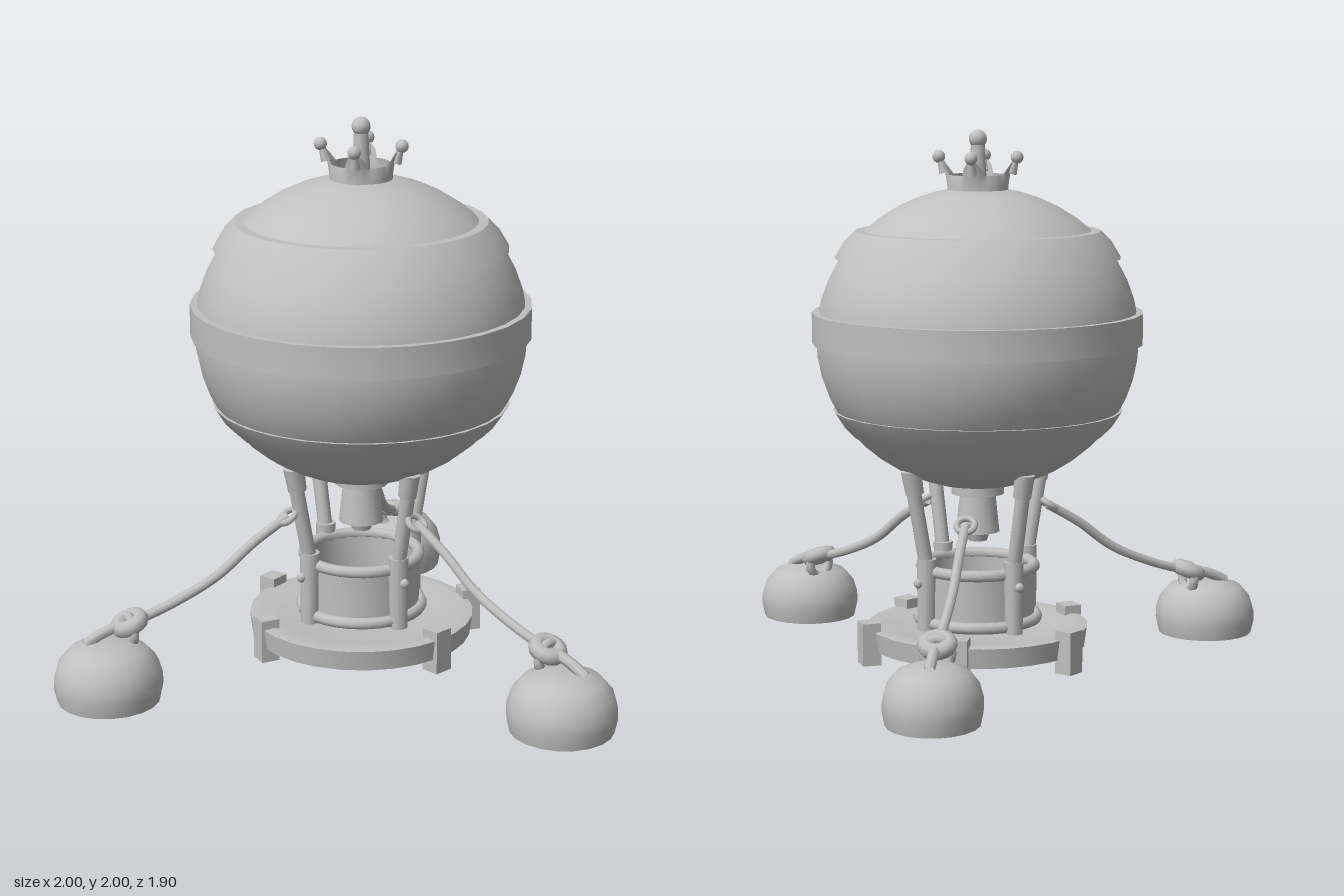
import * as THREE from 'three';
import { toCreasedNormals } from 'three/addons/utils/BufferGeometryUtils.js';

const CZ = 0.125; // z of the balloon axis
const V = (x, y, z) => new THREE.Vector3(x, y, z);

export function createModel() {
  const model = new THREE.Group();
  model.name = 'balloonModel';
  const grey = new THREE.MeshStandardMaterial({ color: 0xc0c0c0, side: THREE.DoubleSide });
  grey.name = 'plainGrey';

  const add = (parent, name, geometry, x = 0, y = 0, z = 0) => {
    const mesh = new THREE.Mesh(geometry, grey);
    mesh.name = name;
    mesh.position.set(x, y, z);
    parent.add(mesh);
    return mesh;
  };
  const lathe = (pts, seg = 28) =>
    toCreasedNormals(new THREE.LatheGeometry(pts.map(p => new THREE.Vector2(p[0], p[1])), seg), 0.6);
  const rod = (parent, name, a, b, r0, r1 = r0, seg = 10) => {
    const dir = b.clone().sub(a);
    const mesh = add(parent, name, new THREE.CylinderGeometry(r1, r0, dir.length(), seg));
    mesh.position.copy(a).addScaledVector(dir, 0.5);
    mesh.quaternion.setFromUnitVectors(V(0, 1, 0), dir.normalize());
    return mesh;
  };
  const tube = (parent, name, pts, r, seg = 20) =>
    add(parent, name, new THREE.TubeGeometry(new THREE.CatmullRomCurve3(pts), seg, r, 8));

  const craft = new THREE.Group();
  craft.name = 'craft';
  craft.position.z = CZ;
  model.add(craft);

  // Balloon envelope and its three raised bands
  add(craft, 'envelope', new THREE.SphereGeometry(0.6, 32, 24), 0, 1.23, 0).scale.y = 0.935;
  add(craft, 'upperBand', lathe([[0.47, 1.53], [0.53, 1.53], [0.495, 1.59], [0.455, 1.63], [0.4, 1.63]]));
  add(craft, 'middleBand', lathe([[0.56, 1.215], [0.615, 1.215], [0.615, 1.33], [0.56, 1.33]]));
  add(craft, 'lowerBand', lathe([[0.4, 0.87], [0.465, 0.87], [0.505, 0.91], [0.54, 0.965], [0.48, 0.965]]));

  // Crown: an open wall whose rim rises and flares at four points
  const crown = new THREE.Group();
  crown.name = 'crown';
  craft.add(crown);
  const wall = new THREE.CylinderGeometry(1, 1, 1, 48, 5, true);
  const p = wall.attributes.position;
  for (let i = 0; i < p.count; i++) {
    const t = p.getY(i) + 0.5, a = Math.atan2(p.getZ(i), p.getX(i));
    const peak = Math.pow(Math.abs(Math.cos(2 * a)) * (Math.cos(4 * a) + 1) / 2, 1.5);
    const tip = Math.cos(4 * a) > 0 ? peak : 0;
    const r = 0.112 + t * t * (0.03 * tip - 0.006);
    p.setXYZ(i, r * Math.cos(a), 1.77 + t * (0.065 + 0.055 * tip), r * Math.sin(a));
  }
  wall.computeVertexNormals();
  add(crown, 'crownWall', wall);
  for (let i = 0; i < 4; i++) {
    const a = i * Math.PI / 2, c = Math.cos(a), s = Math.sin(a);
    rod(crown, 'crownPoint', V(0.125 * c, 1.84, 0.125 * s), V(0.144 * c, 1.9, 0.144 * s), 0.02, 0.01, 8);
    add(crown, 'crownBead', new THREE.SphereGeometry(0.024, 12, 8), 0.146 * c, 1.9, 0.146 * s);
  }
  rod(crown, 'crownPost', V(0, 1.77, 0), V(0, 1.96, 0), 0.035, 0.025);
  add(crown, 'crownKnob', new THREE.SphereGeometry(0.034, 14, 10), 0, 1.966, 0);

  // Burner under the envelope
  add(craft, 'burner', lathe([[0, 0.462], [0.035, 0.465], [0.045, 0.495], [0.083, 0.5], [0.068, 0.64],
    [0.1, 0.645], [0.1, 0.69]], 16));

  // Open basket with rims and a floor
  add(craft, 'basketWall', lathe([[0, 0.16], [0.215, 0.16], [0.215, 0.38], [0.195, 0.38], [0.195, 0.18], [0, 0.18]], 24));
  for (const [name, y, r] of [['basketRim', 0.37, 0.212], ['basketFoot', 0.175, 0.222]])
    add(craft, name, new THREE.TorusGeometry(r, 0.022, 8, 28), 0, y, 0).rotation.x = Math.PI / 2;

  // Four struts with sleeves and end pads
  for (const sx of [-1, 1]) for (const sz of [-1, 1]) {
    const at = (r, y) => V(sx * r, y, sz * r);
    rod(craft, 'strut', at(0.158, 0.35), at(0.208, 0.71), 0.027);
    rod(craft, 'strutSleeve', at(0.165, 0.15), at(0.163, 0.42), 0.033, 0.037);
    rod(craft, 'strutPad', at(0.2, 0.67), at(0.212, 0.76), 0.034, 0.038);
    add(craft, 'sleeveStud', new THREE.SphereGeometry(0.018, 8, 6), sx * 0.19, 0.33, sz * 0.19);
  }

  // Round deck and its hanging blocks
  add(craft, 'deck', lathe([[0, 0.07], [0.405, 0.07], [0.415, 0.145], [0.38, 0.15], [0.3, 0.13], [0, 0.13]], 28));
  for (const [x, z] of [[0.315, 0.225], [-0.315, 0.225], [0.375, -0.2], [-0.375, -0.2], [0, -0.4]]) {
    const block = add(craft, 'deckBlock', new THREE.BoxGeometry(0.075, 0.16, 0.07), x, 0.1, z);
    block.rotation.y = Math.atan2(x, z);
  }

  // Three ballast weights, each on a rope with a knot, hook and tail
  const ropes = [
    { top: [0.235, 0.33], knot: [0.745, 0.67], weight: [0.805, 0.75] },
    { top: [-0.235, 0.33], knot: [-0.745, 0.67], weight: [-0.805, 0.75] },
    { top: [0, -0.13], knot: [0, -0.68], weight: [0, -0.762] },
  ];
  for (const { top, knot, weight } of ropes) {
    const g = new THREE.Group();
    g.name = 'ballast';
    model.add(g);
    const dome = add(g, 'ballastWeight', lathe([[0, 0], [0.183, 0], [0.194, 0.05], [0.193, 0.09], [0.178, 0.14],
      [0.14, 0.185], [0.08, 0.207], [0, 0.212]], 20), weight[0], 0, weight[1]);
    if (top[0] === 0) dome.scale.x = 0.91;

    const at = (t, y) => V(top[0] + t * (knot[0] - top[0]), y, top[1] + t * (knot[1] - top[1]));
    tube(g, 'rope', [at(0, 0.57), at(0.22, 0.49), at(0.45, 0.385), at(0.72, 0.31), at(1, 0.255)], 0.018);
    const yaw = Math.atan2(knot[0] - top[0], knot[1] - top[1]);

    const eye = add(g, 'ropeEye', new THREE.TorusGeometry(0.034, 0.012, 8, 16), top[0], 0.57, top[1]);
    eye.rotation.set(-0.9, yaw, 0, 'YXZ');
    const knotMesh = add(g, 'knot', new THREE.TorusGeometry(0.042, 0.03, 8, 14), knot[0], 0.26, knot[1]);
    knotMesh.rotation.set(Math.PI / 2 + 0.4, yaw, 0, 'YXZ');
    const hook = add(g, 'hook', new THREE.TorusGeometry(0.05, 0.018, 8, 16), knot[0], 0.23, knot[1]);
    hook.rotation.y = yaw;
    tube(g, 'ropeTail', [at(1, 0.25), at(1.09, 0.25), at(1.18, 0.232), at(1.27, 0.205)], 0.02, 10);
  }
  return model;
}
